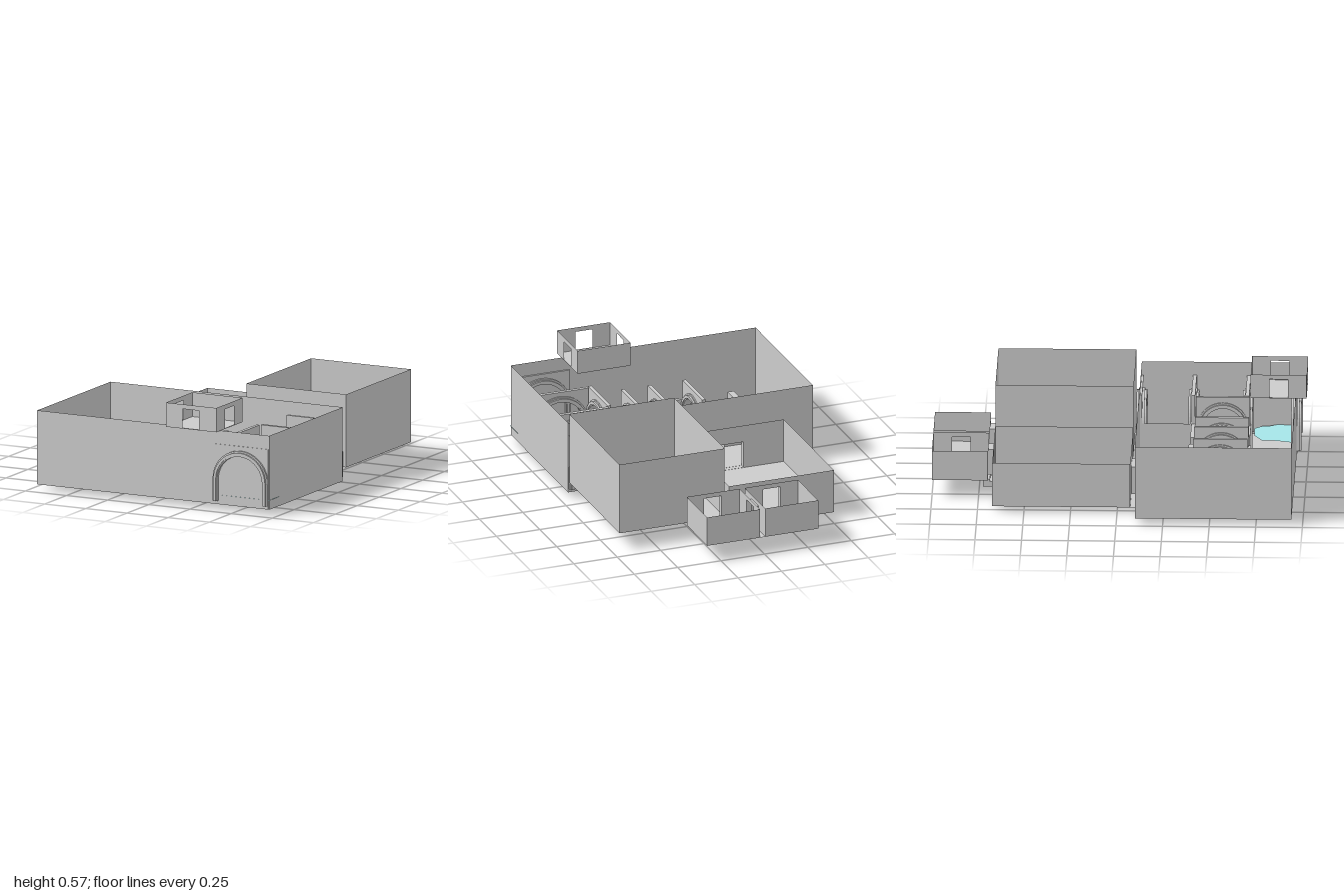
import * as THREE from 'three';

const grey = new THREE.MeshStandardMaterial({ color: 0xcccccc, side: THREE.DoubleSide, flatShading: true });
const water = new THREE.MeshStandardMaterial({ color: 0xa5e5e8, side: THREE.DoubleSide });

export function createModel() {
  const root = new THREE.Group();

  function add(parent, name, geometry, material = grey) {
    const mesh = new THREE.Mesh(geometry, material);
    mesh.name = name;
    parent.add(mesh);
    return mesh;
  }
  function group(name) {
    const g = new THREE.Group();
    g.name = name;
    root.add(g);
    return g;
  }

  // Turns a geometry drawn in (u, y) so that it faces z or x, at position p
  function face(geometry, axis, p) {
    if (axis === 'x') geometry.rotateY(-Math.PI / 2).translate(p, 0, 0);
    else geometry.translate(0, 0, p);
    return geometry;
  }
  function rectPath(P, u0, u1, y0, y1) {
    const s = new P();
    s.moveTo(u0, y0);
    s.lineTo(u1, y0);
    s.lineTo(u1, y1);
    s.lineTo(u0, y1);
    s.closePath();
    return s;
  }
  // Paper-thin wall with optional rectangular doors [u0, u1, y0, y1]
  function wall(parent, name, axis, p, u0, u1, y0, y1, doors = []) {
    const s = rectPath(THREE.Shape, u0, u1, y0, y1);
    for (const d of doors) {
      // doors reaching the floor keep a hairline sill so the hole stays inside
      s.holes.push(rectPath(THREE.Path, d[0], d[1], Math.max(d[2], y0 + 0.001), d[3]));
    }
    return add(parent, name, face(new THREE.ShapeGeometry(s), axis, p));
  }
  function floor(parent, x0, x1, z0, z1, y) {
    const g = new THREE.PlaneGeometry(x1 - x0, z1 - z0).rotateX(-Math.PI / 2);
    return add(parent, 'floor', g.translate((x0 + x1) / 2, y, (z0 + z1) / 2));
  }
  function box(parent, name, x0, x1, y0, y1, z0, z1) {
    const g = new THREE.BoxGeometry(x1 - x0, y1 - y0, z1 - z0);
    return add(parent, name, g.translate((x0 + x1) / 2, (y0 + y1) / 2, (z0 + z1) / 2));
  }
  // Four walls of a roofless room; doors listed per side
  function room(name, x0, x1, z0, z1, y0, y1, doors = {}) {
    const g = group(name);
    wall(g, 'frontWall', 'z', z1, x0, x1, y0, y1, doors.front);
    wall(g, 'backWall', 'z', z0, x0, x1, y0, y1, doors.back);
    wall(g, 'leftWall', 'x', x1, z0, z1, y0, y1, doors.left);
    wall(g, 'rightWall', 'x', x0, z0, z1, y0, y1, doors.right);
    return g;
  }
  // Door tunnel: two cheeks and a lid between neighbouring rooms
  function passage(axis, u0, u1, p0, p1, y0, y1) {
    const g = group('passage');
    const other = axis === 'z' ? 'x' : 'z';
    for (const u of [u0, u1]) wall(g, 'cheek', other, u, p0, p1, y0, y1);
    for (const y of [y0, y1]) {
      if (axis === 'z') floor(g, u0, u1, p0, p1, y);
      else floor(g, p0, p1, u0, u1, y);
    }
  }

  // Rooms
  const hall = room('mainHall', -0.71, 0.70, 0.10, 0.94, 0.03, 0.435, { back: [[-0.30, -0.16, 0.03, 0.18]] });
  floor(hall, -0.71, 0.70, 0.10, 0.94, 0.03);

  const middle = room('middleRoom', -0.53, 0.075, -0.67, 0.07, 0.03, 0.275, {
    front: [[-0.30, -0.16, 0.03, 0.18]], back: [[-0.21, -0.11, 0.03, 0.24]],
  });
  floor(middle, -0.53, 0.075, -0.67, 0.10, 0.03);

  const tall = room('tallRoom', 0.10, 0.705, -0.67, 0.07, 0.10, 0.50, { back: [[0.13, 0.23, 0.10, 0.24]] });
  floor(tall, 0.10, 0.705, -0.67, 0.07, 0.10);

  const backA = room('backRoomLeft', 0.025, 0.33, -1.0, -0.70, 0.10, 0.265, {
    front: [[0.13, 0.23, 0.10, 0.24]], right: [[-0.90, -0.80, 0.10, 0.24]],
  });
  floor(backA, -0.31, 0.33, -1.0, -0.70, 0.10);
  room('backRoomRight', -0.31, -0.005, -1.0, -0.70, 0.10, 0.265, {
    front: [[-0.21, -0.11, 0.10, 0.24]], left: [[-0.90, -0.80, 0.10, 0.24]],
  });

  const side = [[0.80, 0.90, 0.44, 0.545]];
  const upper = room('upperRoom', 0.105, 0.41, 0.70, 1.0, 0.437, 0.57, {
    front: [[0.205, 0.305, 0.44, 0.545]], left: side, right: side,
  });
  floor(upper, 0.105, 0.41, 0.70, 1.0, 0.437);

  passage('z', -0.30, -0.16, 0.07, 0.10, 0.03, 0.18);
  passage('z', 0.13, 0.23, -0.70, -0.67, 0.10, 0.24);
  passage('z', -0.21, -0.11, -0.70, -0.67, 0.10, 0.24);
  passage('x', -0.90, -0.80, -0.005, 0.025, 0.10, 0.24);

  // Short stair climbing to the back rooms
  const stair = group('backStair');
  for (let i = 0; i < 5; i++) {
    box(stair, 'step', -0.21, -0.11, 0.03, 0.03 + (i + 1) * 0.014, -0.667 - (i + 1) * 0.012, -0.667 - i * 0.012);
  }

  // Arch outline: straight legs with a half-round head
  function archPath(P, c, r, bottom, spring) {
    const s = new P();
    s.moveTo(c - r, bottom);
    s.lineTo(c - r, spring);
    s.absarc(c, spring, r, Math.PI, 0, true);
    s.lineTo(c + r, bottom);
    s.closePath();
    return s;
  }
  // Stepped moulding made of stacked rings, deepest in the middle
  function arch(axis, p, c, r, bottom, spring) {
    const g = group('archMoulding');
    for (const [outer, inner, depth] of [[0, 0.011, 0.034], [0.009, 0.024, 0.055], [0.022, 0.03, 0.044]]) {
      const s = archPath(THREE.Shape, c, r - outer, bottom, spring);
      const h = archPath(THREE.Path, c, r - inner, bottom, spring);
      // legs stay open at the foot: join outer and inner outlines
      const pts = s.getPoints(12).slice(0, -1).concat(h.getPoints(12).slice(0, -1).reverse());
      const geo = new THREE.ExtrudeGeometry(new THREE.Shape(pts), { depth, bevelEnabled: false });
      add(g, 'archRing', face(geo.translate(0, 0, -depth / 2), axis, p));
    }
  }
  // Thin partition pierced by the arch
  function archPanel(axis, p, u0, u1, y0, y1, c, r, spring) {
    const s = rectPath(THREE.Shape, u0, u1, y0, y1);
    s.holes.push(archPath(THREE.Path, c, r - 0.02, y0 + 0.001, spring));
    const geo = new THREE.ExtrudeGeometry(s, { depth: 0.02, bevelEnabled: false });
    add(root, 'archPanel', face(geo.translate(0, 0, -0.01), axis, p));
  }

  // Arches along the left corridor; the outer two are blind
  for (const z of [0.105, 0.385, 0.675, 0.937]) {
    arch('z', z, 0.529, 0.166, 0.05, 0.17);
    if (z > 0.2 && z < 0.9) archPanel('z', z, 0.36, 0.698, 0.03, 0.36, 0.529, 0.166, 0.17);
  }
  box(root, 'frontArchBacking', 0.365, 0.695, 0.035, 0.36, 0.93, 0.943);
  box(root, 'rearArchBacking', 0.365, 0.695, 0.035, 0.36, 0.097, 0.11);

  // Cross arches; the three lower ones sink through the floor
  for (const x of [-0.2, 0, 0.155, 0.345]) {
    const lift = x > 0.3 ? 0.05 : 0;
    arch('x', x, 0.545, 0.137, lift, 0.143 + lift);
    archPanel('x', x, 0.40, 0.69, 0.03, 0.31 + lift, 0.545, 0.137, 0.143 + lift);
  }

  // Low partitions inside the hall
  const low = group('lowPartitions');
  wall(low, 'partition', 'x', -0.2, 0.10, 0.37, 0.03, 0.2);
  wall(low, 'partition', 'x', 0.36, 0.10, 0.37, 0.03, 0.2);
  box(low, 'partition', -0.485, -0.45, 0.03, 0.2, 0.40, 0.69);
  box(low, 'partition', -0.465, 0.03, 0.03, 0.2, 0.37, 0.405);
  box(low, 'partition', 0.135, 0.365, 0.03, 0.2, 0.375, 0.405);
  box(low, 'partition', -0.22, 0.015, 0.03, 0.2, 0.685, 0.705);
  box(low, 'partition', 0.15, 0.365, 0.03, 0.2, 0.68, 0.695);
  box(low, 'step', 0.27, 0.325, 0.03, 0.055, 0.44, 0.51);

  // Pool surface in the front corner
  const outline = [[0.41, 0.945], [0.41, 0.91], [0.435, 0.83], [0.44, 0.75], [0.515, 0.71], [0.635, 0.705],
    [0.672, 0.745], [0.678, 0.785], [0.703, 0.83], [0.703, 0.945]];
  const pool = new THREE.Shape(outline.map(([x, z]) => new THREE.Vector2(x, -z)));
  add(root, 'poolWater', new THREE.ShapeGeometry(pool).rotateX(-Math.PI / 2).translate(0, 0.082, 0), water);

  // Spiral stair in the tall room
  const spiral = group('spiralStair');
  spiral.position.set(0.60, 0.10, -0.20);
  add(spiral, 'pole', new THREE.CylinderGeometry(0.005, 0.005, 0.2, 8).translate(0, 0.1, 0));
  const count = 16;
  for (let i = 0; i < count; i++) {
    const a = (i / count) * Math.PI * 2;
    const tread = new THREE.CylinderGeometry(0.1, 0.1, 0.012, 2, 1, false, a, (Math.PI * 2) / count);
    add(spiral, 'tread', tread.translate(0, 0.008 + i * 0.012, 0));
  }
  return root;
}
